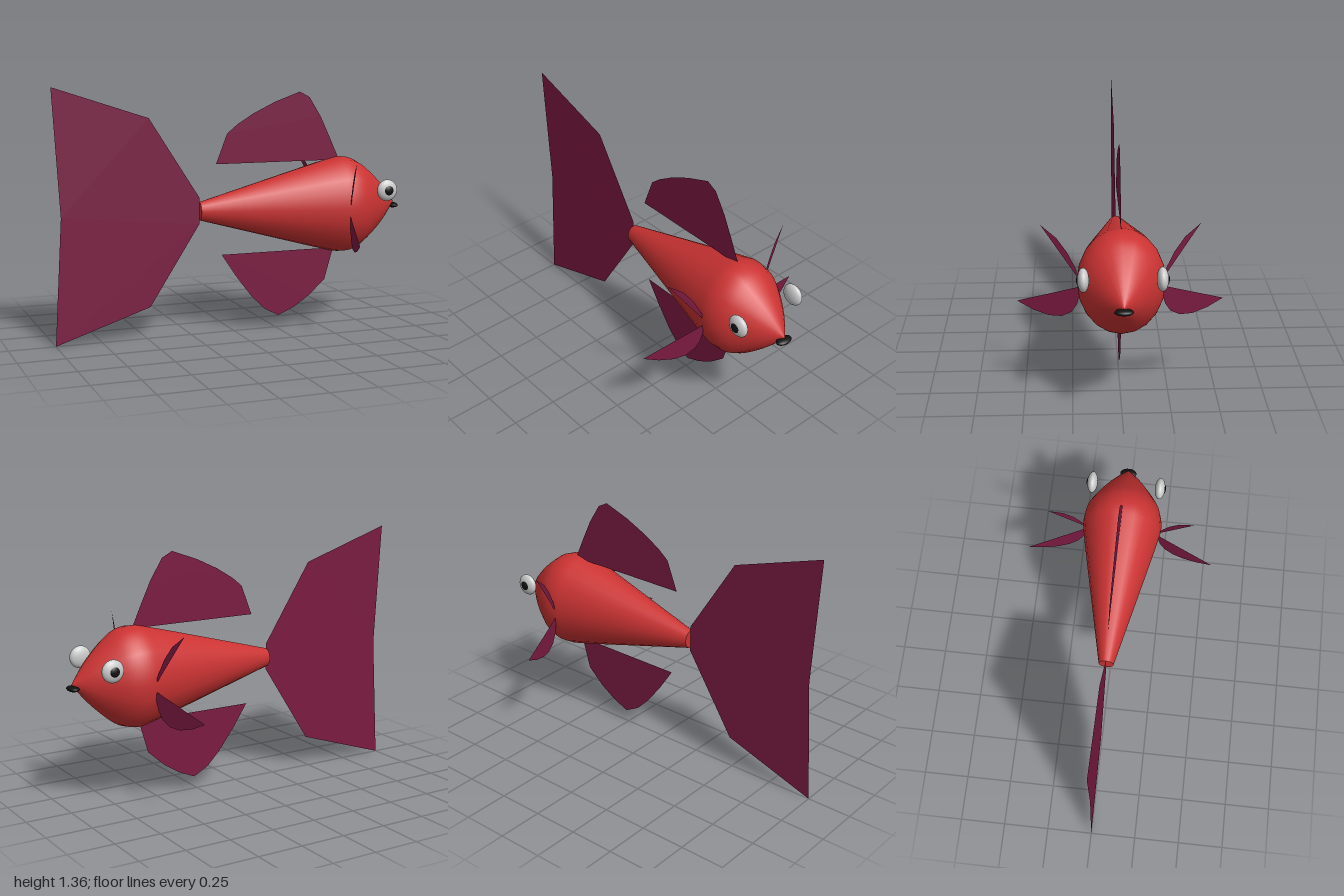
import * as THREE from 'three';

const CY = 0.68; // height of the body axis

const paint = (color, side = THREE.FrontSide) => new THREE.MeshStandardMaterial({ color, side });

export function createModel() {
  const model = new THREE.Group();
  const red = paint(0xcc3333);
  const wine = paint(0x7a1a40, THREE.DoubleSide);
  const grey = paint(0xcccccc);
  const black = paint(0x111111);

  const add = (name, geometry, material) => {
    const mesh = new THREE.Mesh(geometry, material);
    mesh.name = name;
    model.add(mesh);
    return mesh;
  };
  const outline = (points) =>
    new THREE.ShapeGeometry(new THREE.Shape(points.map(([x, y]) => new THREE.Vector2(x, y))));
  const ellipsoid = (name, material, position, radii) => {
    const mesh = add(name, new THREE.SphereGeometry(1, 24, 16), material);
    mesh.position.set(...position);
    mesh.scale.set(...radii);
  };

  // Body: a turned profile (radius, x) laid along x and narrowed sideways
  const profile = new THREE.SplineCurve([
    [0.05, -0.2], [0.105, 0], [0.16, 0.2], [0.215, 0.4], [0.252, 0.54], [0.27, 0.63],
    [0.254, 0.71], [0.204, 0.785], [0.106, 0.89], [0.0, 0.977],
  ].map(([r, x]) => new THREE.Vector2(r, x))).getPoints(36);
  profile[profile.length - 1].x = 0;
  const body = new THREE.LatheGeometry(profile, 20);
  body.rotateZ(-Math.PI / 2);
  body.scale(1, 1, 0.82);
  add('body', body, red).position.y = CY;

  // Closed rear end of the body
  const cap = new THREE.CircleGeometry(0.05, 20);
  cap.rotateY(-Math.PI / 2);
  cap.scale(1, 1, 0.82);
  add('bodyEnd', cap, red).position.set(-0.2, CY, 0);

  // Flat fins on the centre plane
  add('tailFin', outline([
    [-0.2, 0.61], [-0.2, 0.755], [-0.48, 1.19], [-1, 1.36], [-0.96, CY], [-1, 0], [-0.48, 0.172],
  ]), wine);
  add('dorsalFin', outline([
    [-0.104, 0.932], [-0.04, 1.096], [0.02, 1.145], [0.115, 1.203], [0.238, 1.262], [0.388, 1.316],
    [0.447, 1.285], [0.516, 1.176], [0.575, 1.053], [0.63, 0.932],
  ]), wine);
  add('analFin', outline([
    [-0.072, 0.432], [0.013, 0.305], [0.104, 0.187], [0.18, 0.112], [0.265, 0.066], [0.361, 0.107],
    [0.452, 0.166], [0.548, 0.253], [0.6, 0.432],
  ]), wine);

  // Side fins: outlines in (distance from centre, y), swept back and mirrored
  const upperFin = [[0.19, 0.65], [0.4, 0.95], [0.32, 0.888], [0.267, 0.816], [0.232, 0.747], [0.205, 0.67]];
  const lowerFin = [
    [0.18, 0.65], [0.527, 0.527], [0.444, 0.487], [0.365, 0.466], [0.3, 0.469], [0.25, 0.498],
    [0.222, 0.542], [0.21, 0.59],
  ];
  const sideFin = (name, points, side) => {
    const geometry = outline(points);
    const pos = geometry.attributes.position;
    for (let i = 0; i < pos.count; i++) {
      const out = pos.getX(i);
      pos.setXYZ(i, 0.67 - 0.31 * out, pos.getY(i), side * out);
    }
    geometry.computeVertexNormals();
    add(name, geometry, wine);
  };

  for (const side of [1, -1]) {
    const label = side > 0 ? 'Front' : 'Back';
    sideFin('upperSideFin' + label, upperFin, side);
    sideFin('lowerSideFin' + label, lowerFin, side);
    ellipsoid('eye' + label, grey, [0.837, 0.771, side * 0.191], [0.06, 0.06, 0.029]);
    ellipsoid('pupil' + label, black, [0.837, 0.771, side * 0.203], [0.034, 0.034, 0.022]);
  }

  // Mouth
  ellipsoid('mouth', black, [0.97, 0.659, 0], [0.03, 0.015, 0.047]);

  return model;
}
